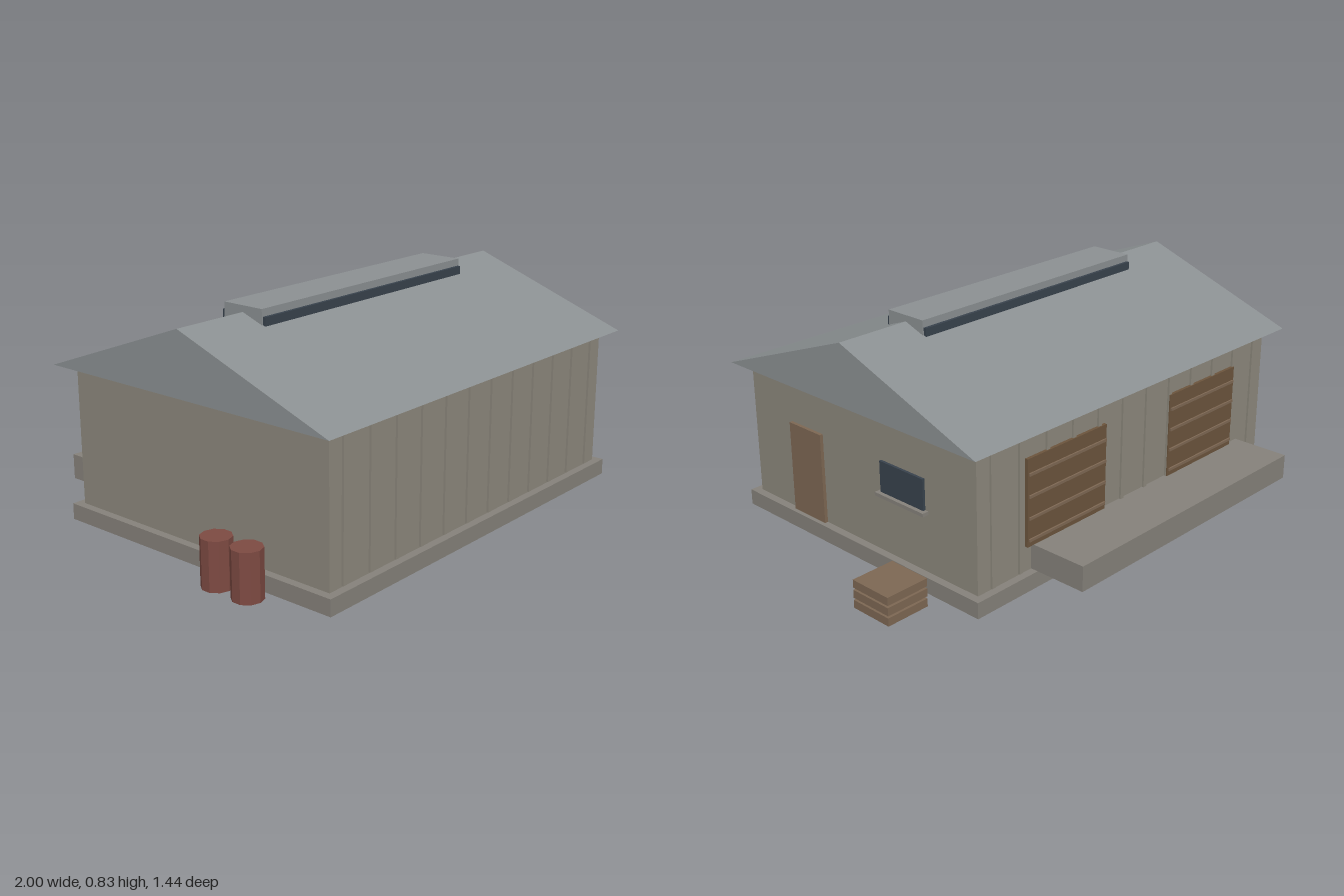
import * as THREE from 'three';

const paint = (color) => new THREE.MeshStandardMaterial({ color, flatShading: true });

export function createModel() {
  const model = new THREE.Group();
  const wall = paint(0x8c877c), concrete = paint(0x85817a), roofing = paint(0x8b9092);
  const timber = paint(0x7d6753), slatWood = paint(0x6b543c), dark = paint(0x38424c);
  const rust = paint(0x7d4a42);

  // Box given by its lower and upper limits on each axis
  function box(name, material, [x0, x1], [y0, y1], [z0, z1], parent = model) {
    const mesh = new THREE.Mesh(new THREE.BoxGeometry(x1 - x0, y1 - y0, z1 - z0), material);
    mesh.position.set((x0 + x1) / 2, (y0 + y1) / 2, (z0 + z1) / 2);
    mesh.name = name;
    parent.add(mesh);
    return mesh;
  }
  function group(name) {
    const g = new THREE.Group();
    g.name = name;
    model.add(g);
    return g;
  }

  // Foundation, walls and loading dock
  box('foundation', concrete, [-0.88, 0.765], [0, 0.06], [-0.52, 0.7]);
  box('walls', wall, [-0.85, 0.735], [0.06, 0.58], [-0.49, 0.67]);
  box('loadingDock', concrete, [-0.71, 0.48], [0.06, 0.155], [-0.72, -0.49]);

  // Gabled roof: a triangular section swept along x
  const gable = new THREE.Shape([
    new THREE.Vector2(-0.72, 0.58),
    new THREE.Vector2(0.545, 0.58),
    new THREE.Vector2(-0.088, 0.812),
  ]);
  const roofGeometry = new THREE.ExtrudeGeometry(gable, { depth: 1.7, bevelEnabled: false });
  roofGeometry.rotateY(Math.PI / 2);
  const roof = new THREE.Mesh(roofGeometry, roofing);
  roof.position.x = -0.908;
  roof.name = 'roof';
  model.add(roof);

  // Ridge vent with dark louvres along both sides
  const vent = group('ridgeVent');
  box('ventCap', roofing, [-0.61, 0.495], [0.77, 0.835], [0.003, 0.175], vent);
  for (const z of [-0.003, 0.181])
    box('ventLouvre', dark, [-0.605, 0.49], [0.777, 0.808], [z - 0.006, z + 0.006], vent);

  // Vertical cladding ribs, front and back
  const ribs = group('claddingRibs');
  for (let i = 0; i < 12; i++) {
    const x = -0.784 + i * 0.132;
    for (const z of [0.67, -0.49])
      box('rib', wall, [x - 0.008, x + 0.008], [0.065, 0.563], [z - 0.008, z + 0.008], ribs);
  }

  // Two loading doors with horizontal slats at the back
  for (const x of [-0.45, 0.31]) {
    const door = group('loadingDoor');
    box('doorPanel', slatWood, [x - 0.2, x + 0.2], [0.155, 0.48], [-0.502, -0.485], door);
    for (let i = 0; i < 4; i++) {
      const y = 0.18 + i * 0.081;
      box('doorSlat', timber, [x - 0.195, x + 0.195], [y - 0.005, y + 0.005], [-0.508, -0.5], door);
    }
  }

  // Side door with handle, and the window with its sill
  box('sideDoor', timber, [0.725, 0.748], [0.06, 0.407], [0.278, 0.45]);
  box('windowPane', dark, [0.725, 0.745], [0.288, 0.407], [-0.248, -0.035]);
  box('windowSill', concrete, [0.725, 0.76], [0.278, 0.291], [-0.262, -0.022]);

  // Stacked pallets
  const pallets = group('palletStack');
  for (let i = 0; i < 3; i++)
    box('pallet', timber, [0.826, 0.998], [0.004 + i * 0.038, 0.034 + i * 0.038], [-0.346, -0.176], pallets);

  // Two barrels
  for (const z of [0.278, 0.413]) {
    const barrel = new THREE.Mesh(new THREE.CylinderGeometry(0.055, 0.055, 0.176, 10), rust);
    barrel.position.set(-0.945, 0.088, z);
    barrel.name = 'barrel';
    model.add(barrel);
  }

  return model;
}
